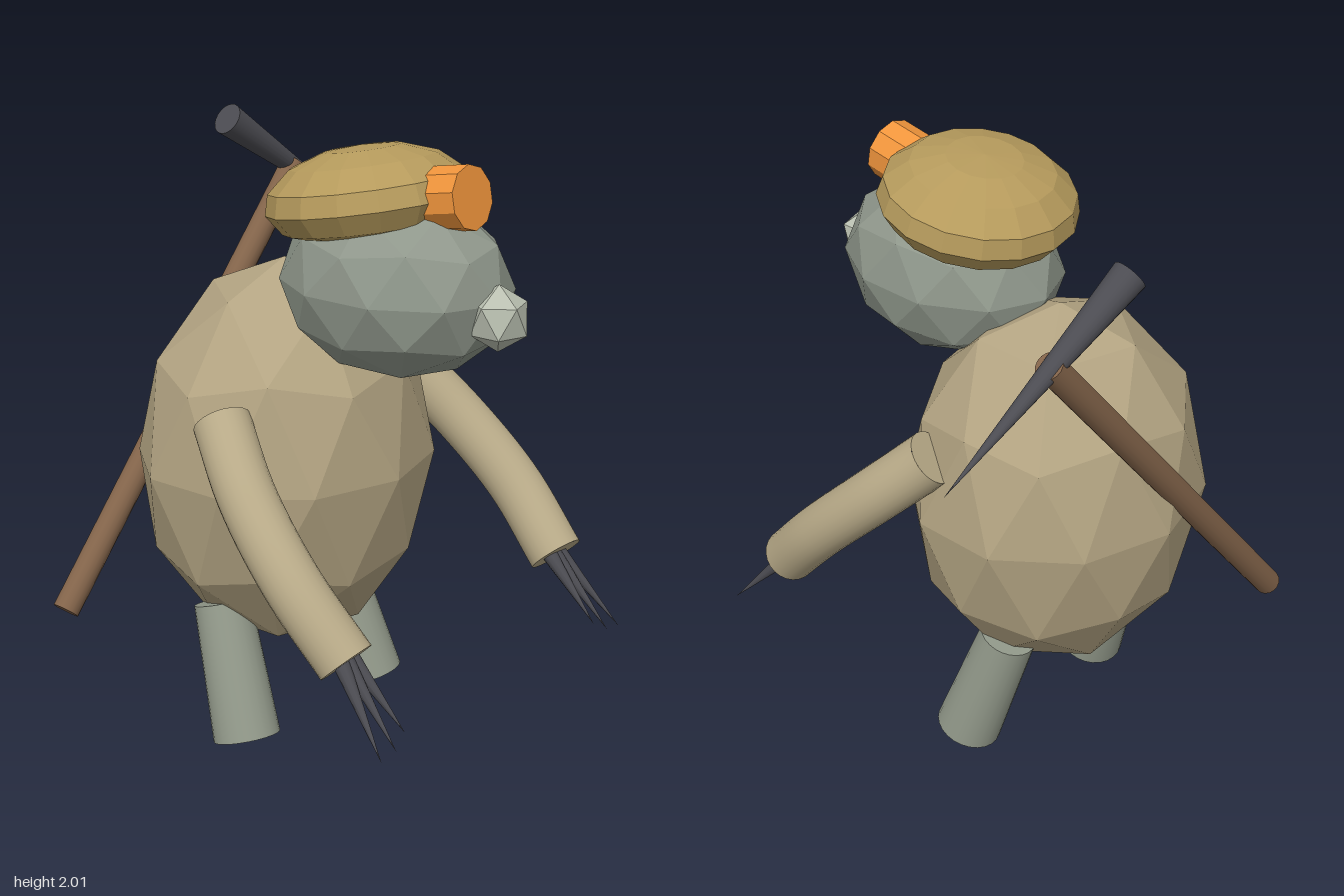
import * as THREE from 'three';

const CX = -0.12; // symmetry axis of the animal
const V = (x, y, z) => new THREE.Vector3(x, y, z);
const paint = (color, flatShading = false) => new THREE.MeshStandardMaterial({ color, flatShading });

const mats = {
  fur: paint(0xb3a482, true),
  face: paint(0x8f978b, true),
  nose: paint(0xb9bfb0, true),
  hat: paint(0xb59a5c, true),
  lamp: paint(0xf0953c, true),
  arm: paint(0xb8aa88),
  leg: paint(0x939a8b),
  metal: paint(0x4c4c52),
  wood: paint(0x83644a),
};

function add(parent, name, geometry, material) {
  const mesh = new THREE.Mesh(geometry, material);
  mesh.name = name;
  parent.add(mesh);
  return mesh;
}

// Faceted ball with a vertex at its pole, stretched to three radii
function facetBall(detail, rx, ry, rz) {
  return new THREE.IcosahedronGeometry(1, detail)
    .rotateX(-Math.atan((1 + Math.sqrt(5)) / 2))
    .rotateY(-Math.PI / 2)
    .scale(rx, ry, rz);
}

// Tapered cylinder running from point a to point b
function rod(a, b, ra, rb, sides) {
  const dir = b.clone().sub(a);
  const g = new THREE.CylinderGeometry(rb, ra, dir.length(), sides);
  g.applyQuaternion(new THREE.Quaternion().setFromUnitVectors(V(0, 1, 0), dir.normalize()));
  const mid = a.clone().add(b).multiplyScalar(0.5);
  return g.translate(mid.x, mid.y, mid.z);
}

// Flat disc closing one end of a tube, facing along dir
function cap(p, dir, r) {
  return new THREE.CircleGeometry(r, 24)
    .applyQuaternion(new THREE.Quaternion().setFromUnitVectors(V(0, 0, 1), dir))
    .translate(p.x, p.y, p.z);
}

function limbs(s, label) {
  const g = new THREE.Group();
  g.name = label + 'Limbs';
  const P = (x, y, z) => V(CX + s * x, y, z);

  // Curved arm with closed ends
  const path = new THREE.CatmullRomCurve3([
    P(0.45, 1.175, -0.08), P(0.535, 0.99, 0.1), P(0.575, 0.78, 0.31), P(0.555, 0.57, 0.505),
  ]);
  const r = 0.092;
  const arm = new THREE.Group();
  arm.name = label + 'Arm';
  g.add(arm);
  add(arm, 'sleeve', new THREE.TubeGeometry(path, 20, r, 24), mats.arm);
  add(arm, 'shoulderEnd', cap(path.getPoint(0), path.getTangent(0).negate(), r), mats.arm);
  add(arm, 'wristEnd', cap(path.getPoint(1), path.getTangent(1), r), mats.arm);

  // Three fanned claws
  const tips = [P(0.51, 0.38, 0.695), P(0.57, 0.345, 0.71), P(0.64, 0.335, 0.71)];
  tips.forEach((tip, i) => {
    const base = P(0.55 + (i - 1) * 0.024, 0.575, 0.5);
    add(arm, 'claw', rod(base, tip, 0.027, 0, 10), mats.metal);
  });

  // Slanted leg
  add(g, label + 'Leg', rod(P(0.325, 0.035, -0.115), P(0.28, 0.47, -0.255), 0.112, 0.095, 24), mats.leg);
  return g;
}

export function createModel() {
  const model = new THREE.Group();
  model.name = 'miningMole';

  // Body, head and nose
  add(model, 'body', facetBall(1, 0.52, 0.66, 0.475), mats.fur).position.set(CX, 0.937, -0.21);
  add(model, 'head', facetBall(1, 0.31, 0.295, 0.4), mats.face).position.set(CX, 1.583, 0.25);
  add(model, 'nose', facetBall(0, 0.1, 0.105, 0.1), mats.nose).position.set(CX, 1.54, 0.64);

  // Cap tipped backwards, with a lamp on its front
  const hat = new THREE.Group();
  hat.name = 'hat';
  hat.position.set(CX, 1.835, 0.14);
  hat.rotation.x = -0.17;
  model.add(hat);
  const profile = [
    [0, -0.11], [0.17, -0.11], [0.28, -0.075], [0.326, -0.01],
    [0.31, 0.055], [0.235, 0.12], [0.125, 0.158], [0, 0.168],
  ].map(([x, y]) => new THREE.Vector2(x, y));
  add(hat, 'crown', new THREE.LatheGeometry(profile, 16), mats.hat);
  add(hat, 'lamp', rod(V(0, -0.01, 0.2), V(0, -0.01, 0.4), 0.1, 0.1, 10), mats.lamp);

  // Arms, claws and legs
  model.add(limbs(1, 'left'), limbs(-1, 'right'));

  // Pickaxe slung across the back
  const pick = new THREE.Group();
  pick.name = 'pickaxe';
  model.add(pick);
  add(pick, 'handle', rod(V(-0.715, 0.425, -0.675), V(0.415, 1.765, -0.63), 0.045, 0.045, 16), mats.wood);
  add(pick, 'spike', rod(V(0.12, 1.955, -0.672), V(0.8, 1.485, -0.583), 0.056, 0, 20), mats.metal);

  return model;
}
